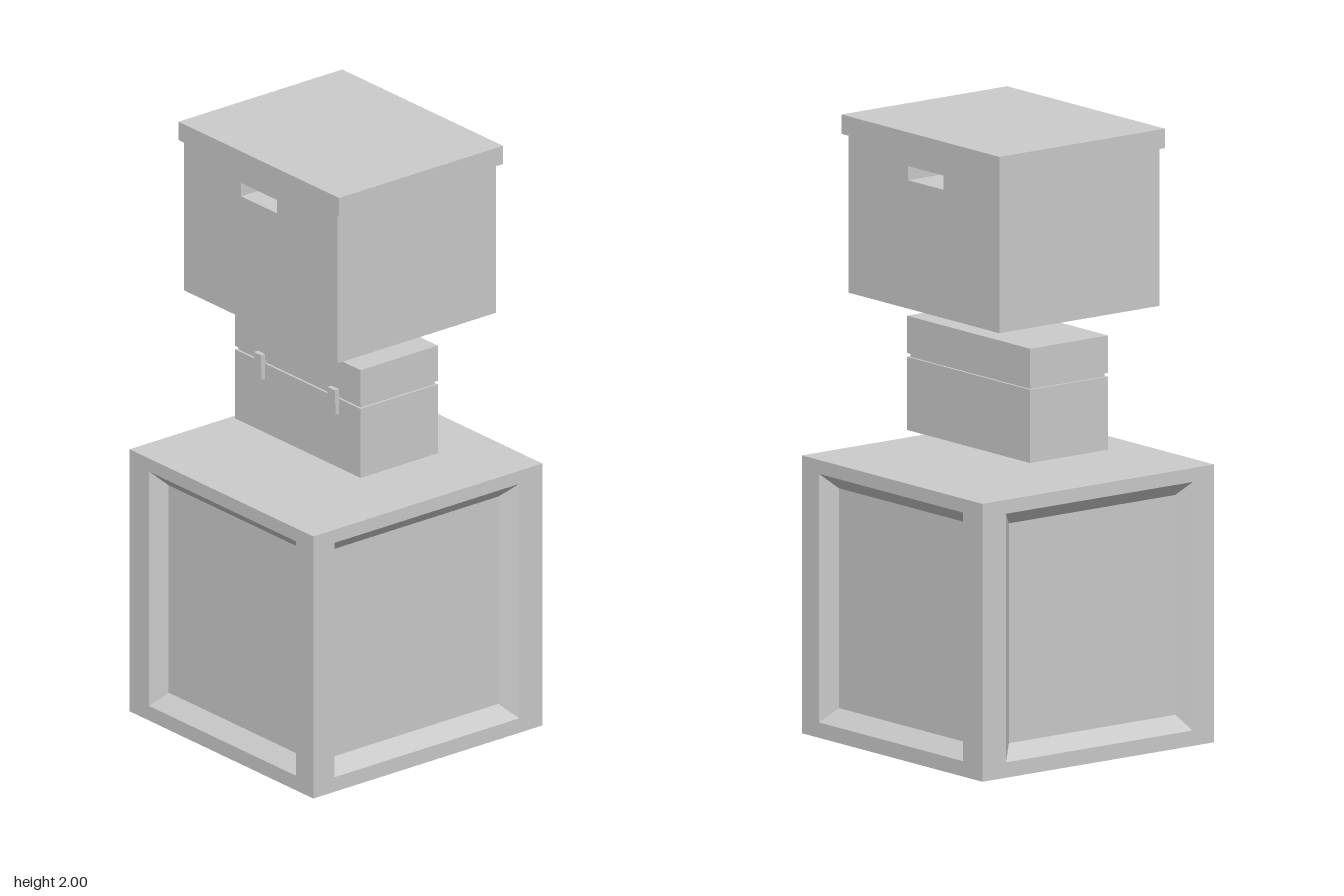
import * as THREE from 'three';

const material = new THREE.MeshStandardMaterial({ color: 0xcccccc });

function addMesh(parent, name, geometry) {
  const mesh = new THREE.Mesh(geometry, material);
  mesh.name = name;
  parent.add(mesh);
  return mesh;
}

// Box given by its extents on each axis
function addBox(parent, name, [x0, x1], [y0, y1], [z0, z1]) {
  const mesh = addMesh(parent, name, new THREE.BoxGeometry(x1 - x0, y1 - y0, z1 - z0));
  mesh.position.set((x0 + x1) / 2, (y0 + y1) / 2, (z0 + z1) / 2);
  return mesh;
}

// Nested rectangles [u0, u1, v0, v1, depth] joined by strips; the last one is filled
function nestedFace(rings, place, flip) {
  const corners = rings.map(([u0, u1, v0, v1, d]) =>
    [[u0, v0], [u1, v0], [u1, v1], [u0, v1]].map(([u, v]) => place(u, v, d)));
  const positions = [];
  const quad = (a, b, c, d) => {
    const order = flip ? [a, c, b, a, d, c] : [a, b, c, a, c, d];
    order.forEach((p) => positions.push(...p));
  };
  for (let r = 0; r < corners.length - 1; r++) {
    const outer = corners[r], inner = corners[r + 1];
    for (let i = 0; i < 4; i++) {
      const j = (i + 1) % 4;
      quad(outer[i], outer[j], inner[j], inner[i]);
    }
  }
  quad(...corners[corners.length - 1]);
  const geometry = new THREE.BufferGeometry();
  geometry.setAttribute('position', new THREE.Float32BufferAttribute(positions, 3));
  geometry.computeVertexNormals();
  return geometry;
}

// Large crate with a bevelled, recessed panel on all four sides
function createCrate() {
  const crate = new THREE.Group();
  crate.name = 'crate';
  const x0 = -0.46, x1 = 0.457, z0 = -0.47, z1 = 0.467, h = 0.9, depth = 0.045;
  const alongX = [
    [x0, x1, 0, h, 0],
    [-0.362, 0.37, 0.05, 0.855, 0],
    [-0.32, 0.325, 0.098, 0.81, depth],
  ];
  const alongZ = [
    [z0, z1, 0, h, 0],
    [-0.375, 0.38, 0.05, 0.855, 0],
    [-0.327, 0.346, 0.098, 0.81, depth],
  ];
  const lidRing = [[x0, x1, z0, z1, 0]];
  addMesh(crate, 'crateFront', nestedFace(alongX, (u, v, d) => [u, v, z1 - d], false));
  addMesh(crate, 'crateBack', nestedFace(alongX, (u, v, d) => [u, v, z0 + d], true));
  addMesh(crate, 'crateLeft', nestedFace(alongZ, (u, v, d) => [x1 - d, v, u], true));
  addMesh(crate, 'crateRight', nestedFace(alongZ, (u, v, d) => [x0 + d, v, u], false));
  addMesh(crate, 'crateTop', nestedFace(lidRing, (u, v) => [u, h, v], true));
  addMesh(crate, 'crateBottom', nestedFace(lidRing, (u, v) => [u, 0, v], false));
  return crate;
}

// Small case: base and lid with a narrow groove between, and two latches
function createCase() {
  const box = new THREE.Group();
  box.name = 'smallCase';
  const x = [-0.32, 0.306], z = [-0.166, 0.15], inset = 0.008;
  addBox(box, 'caseBase', x, [0.967, 1.204], z);
  addBox(box, 'caseSeam', [x[0] + inset, x[1] - inset], [1.204, 1.216], [z[0] + inset, z[1] - inset]);
  addBox(box, 'caseLid', x, [1.216, 1.337], z);
  for (const cx of [-0.188, 0.18]) {
    const latch = new THREE.Group();
    latch.name = 'latch';
    const w = [cx - 0.018, cx + 0.018];
    addBox(latch, 'latchUpper', w, [1.193, 1.237], [0.145, 0.167]);
    addBox(latch, 'latchLower', w, [1.152, 1.193], [0.145, 0.165]);
    box.add(latch);
  }
  return box;
}

// Storage box with hand slots front and back and an overhanging lid
function createStorageBox() {
  const box = new THREE.Group();
  box.name = 'storageBox';
  const rect = (path, x0, x1, y0, y1) =>
    path.moveTo(x0, y0).lineTo(x1, y0).lineTo(x1, y1).lineTo(x0, y1).closePath();
  const outline = rect(new THREE.Shape(), -0.39, 0.376, 1.424, 1.937);
  outline.holes.push(rect(new THREE.Path(), -0.106, 0.074, 1.84, 1.886));
  const body = new THREE.ExtrudeGeometry(outline, { depth: 0.647, bevelEnabled: false });
  addMesh(box, 'storageBody', body).position.z = -0.346;
  addBox(box, 'storageLid', [-0.408, 0.394], [1.937, 2], [-0.36, 0.31]);
  return box;
}

export function createModel() {
  const model = new THREE.Group();
  model.name = 'stackedBoxes';
  model.add(createCrate(), createCase(), createStorageBox());
  return model;
}
